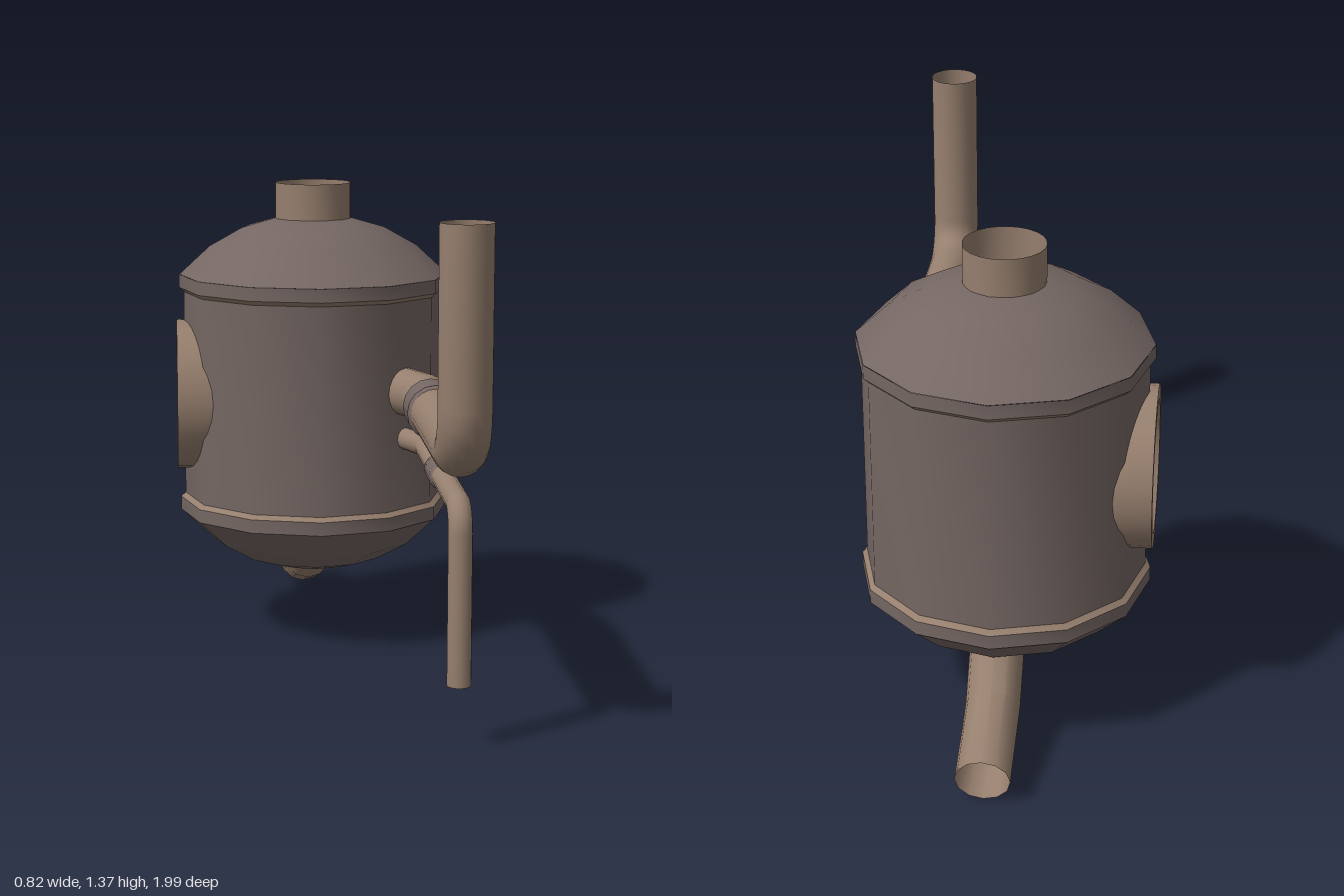
import * as THREE from 'three';
import { toCreasedNormals } from 'three/addons/utils/BufferGeometryUtils.js';

const iron = new THREE.MeshStandardMaterial({ color: 0x756763 });
iron.name = 'dark iron';
const brass = new THREE.MeshStandardMaterial({ color: 0x967f6e, side: THREE.DoubleSide });
brass.name = 'dull brass';
const pale = new THREE.MeshStandardMaterial({ color: 0xaaaaa8 });
pale.name = 'pale dial grey';
const green = new THREE.MeshStandardMaterial({ color: 0x4f7d3c });
green.name = 'dial green';

const TANK_Z = -0.385;
const MIRROR_Y = 1.475; // the lower dome mirrors the upper one about half this height

function add(parent, name, geometry, material, x = 0, y = 0, z = 0) {
  const mesh = new THREE.Mesh(geometry, material);
  mesh.name = name;
  mesh.position.set(x, y, z);
  parent.add(mesh);
  return mesh;
}

// Lathe from [radius, height] pairs listed upwards; sharp profile corners stay sharp
function lathe(profile, sides, crease = 0.6) {
  const g = new THREE.LatheGeometry(profile.map(([r, y]) => new THREE.Vector2(r, y)), sides);
  return toCreasedNormals(g, crease);
}

// Open round pipe along a path, with mitred joints
function pipe(path, radius, sides) {
  const pts = path.map((p) => new THREE.Vector3(...p));
  const dirs = pts.slice(1).map((p, i) => p.clone().sub(pts[i]).normalize());
  const u = new THREE.Vector3(0, 1, 0).cross(dirs[0]);
  if (u.lengthSq() < 0.01) u.set(1, 0, 0);
  u.normalize();
  const v = dirs[0].clone().cross(u);
  let ring = [];
  for (let j = 0; j < sides; j++) {
    const a = (j / sides) * Math.PI * 2;
    ring.push(pts[0].clone().addScaledVector(u, radius * Math.cos(a)).addScaledVector(v, radius * Math.sin(a)));
  }
  const pos = [], index = [];
  pts.forEach((p, i) => {
    if (i > 0) {
      // slide the previous ring along its segment onto the mitre plane
      const d = dirs[i - 1];
      const n = d.clone().add(dirs[i] || d).normalize();
      ring = ring.map((q) => q.clone().addScaledVector(d, p.clone().sub(q).dot(n) / d.dot(n)));
    }
    ring.forEach((q) => pos.push(q.x, q.y, q.z));
    if (i === 0) return;
    for (let j = 0; j < sides; j++) {
      const k = (j + 1) % sides, a = (i - 1) * sides, b = i * sides;
      index.push(a + j, a + k, b + j, a + k, b + k, b + j);
    }
  });
  const g = new THREE.BufferGeometry();
  g.setAttribute('position', new THREE.Float32BufferAttribute(pos, 3));
  g.setIndex(index);
  return toCreasedNormals(g, 0.6);
}

// Pipe from the tank wall forwards, turning up (+1) or down (-1) at the far end
function elbowPath(y, zEnd, bend, turn, yEnd) {
  const x = 0.302;
  const path = [[0.22, y, -0.19], [x, y, 0.01]];
  for (let i = 0; i <= 6; i++) {
    const a = (i / 6) * Math.PI / 2;
    path.push([x, y + turn * bend * (1 - Math.cos(a)), zEnd - bend + bend * Math.sin(a)]);
  }
  path.push([x, yEnd, zEnd]);
  return path;
}

// Chamfered sleeve around a pipe running along z
function coupling(pipeR, r, length) {
  const c = 0.012;
  return lathe([[pipeR, 0], [r, c], [r, length - c], [pipeR, length]], 16).rotateX(Math.PI / 2);
}

function arc(inner, outer, start, sweep) {
  return new THREE.RingGeometry(inner, outer, 16, 1, start, sweep);
}

export function createModel() {
  const model = new THREE.Group();
  model.name = 'boilerTank';

  // Tank body, domes, bands and bevels
  const tank = new THREE.Group();
  tank.name = 'tank';
  tank.position.z = TANK_Z;
  model.add(tank);
  add(tank, 'tankBody', lathe([[0.392, 0.42], [0.392, 1.055]], 12), iron);
  const dome = [[0.405, 1.1], [0.313, 1.185], [0.215, 1.24], [0.11, 1.27], [0, 1.28]];
  const band = [[0.406, 1.06], [0.406, 1.1]];
  const bevel = [[0.392, 1.047], [0.406, 1.06]];
  const flip = (profile) => profile.map(([r, y]) => [r, MIRROR_Y - y]).reverse();
  for (const [side, f] of [['upper', (p) => p], ['lower', flip]]) {
    add(tank, side + 'Dome', lathe(f(dome), 12), iron);
    add(tank, side + 'Band', lathe(f(band), 12), iron);
    add(tank, side + 'Bevel', lathe(f(bevel), 12), brass);
  }
  add(tank, 'topSpout', lathe([[0.113, 1.26], [0.113, 1.376]], 24), brass);

  // Large steam pipe rising at the front
  add(model, 'steamPipe', pipe(elbowPath(0.78, 0.93, 0.13, 1, 1.376), 0.07, 20), brass);
  add(model, 'steamCoupling', coupling(0.069, 0.079, 0.145), iron, 0.302, 0.78, 0.135);

  // Thin water pipe dropping at the front
  add(model, 'waterPipe', pipe(elbowPath(0.64, 0.862, 0.07, -1, 0.168), 0.032, 16), brass);
  add(model, 'waterCoupling', coupling(0.031, 0.039, 0.14), iron, 0.302, 0.64, 0.335);

  // Drain below the tank, bent towards the back
  add(model, 'drainPipe', pipe([[0, 0.34, -0.535], [0, 0.147, -0.712], [0, 0.075, -0.967]], 0.075, 12), brass);

  // Pressure gauge on the right side; its local z points outwards
  const gauge = new THREE.Group();
  gauge.name = 'gauge';
  gauge.position.set(-0.28, 0.735, TANK_Z);
  gauge.rotation.y = -Math.PI / 2;
  model.add(gauge);
  const rim = lathe([[0.226, 0], [0.226, 0.135], [0.185, 0.135], [0.175, 0.115]], 32);
  add(gauge, 'gaugeRim', rim.rotateX(Math.PI / 2), brass);
  add(gauge, 'gaugeDial', new THREE.CircleGeometry(0.176, 32), pale, 0, 0, 0.116);
  add(gauge, 'greenZone', arc(0.115, 0.155, Math.PI / 2, Math.PI / 2), green, 0, 0, 0.119);
  add(gauge, 'brassZone', arc(0.115, 0.155, 0, Math.PI / 2), brass, 0, 0, 0.119);

  // Needle
  const needle = new THREE.Shape();
  needle.moveTo(-0.024, -0.05);
  needle.lineTo(0.024, -0.05);
  needle.lineTo(0.004, 0.115);
  needle.lineTo(-0.004, 0.115);
  add(gauge, 'needle', new THREE.ExtrudeGeometry(needle, { depth: 0.008, bevelEnabled: false }), iron, 0, 0, 0.119);

  return model;
}
